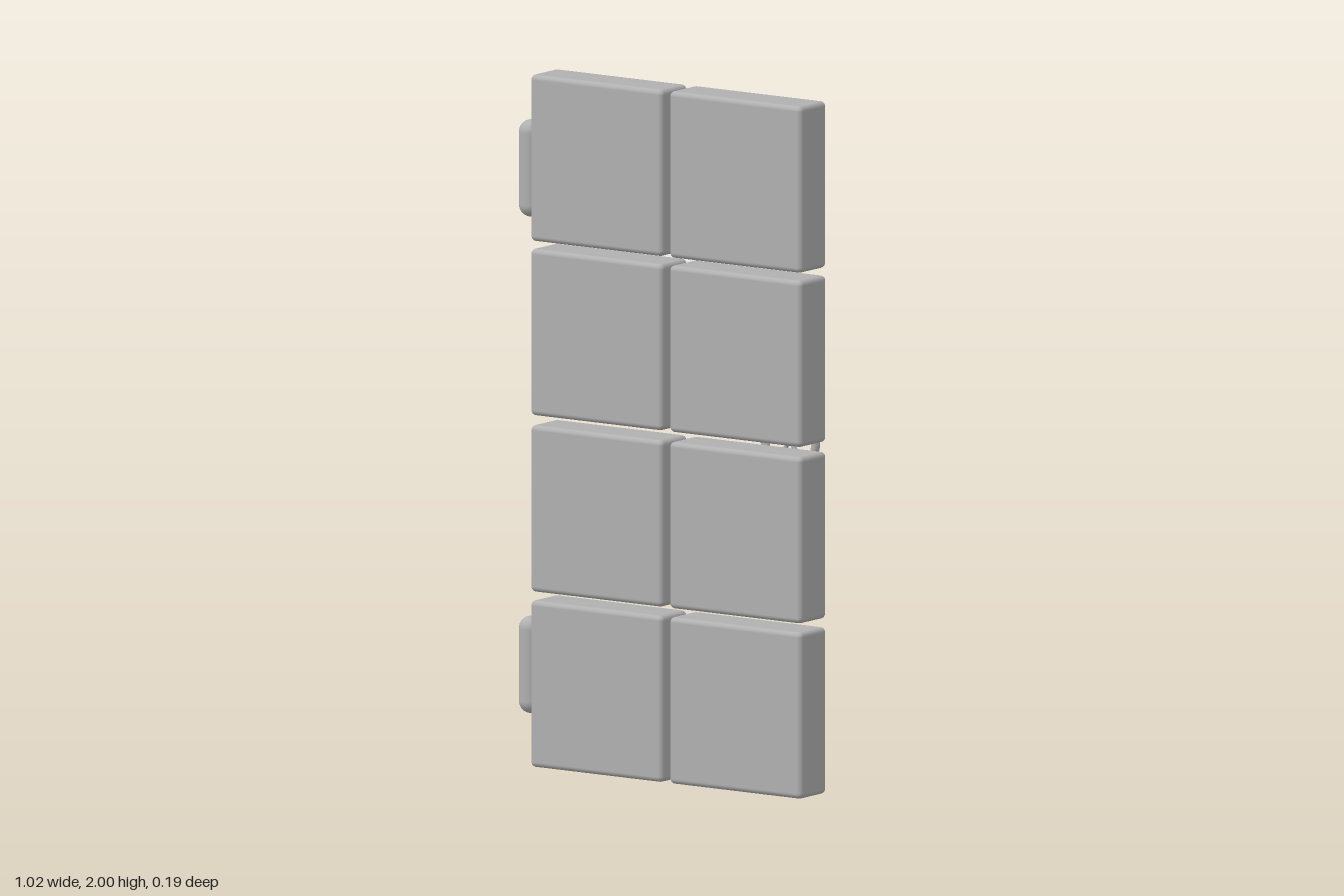
import * as THREE from 'three';
import { RoundedBoxGeometry } from 'three/addons/geometries/RoundedBoxGeometry.js';

const metal = new THREE.MeshStandardMaterial({ color: 0xb0b0b0 });
metal.name = 'grey metal';

function add(parent, name, geometry, x = 0, y = 0, z = 0) {
  const mesh = new THREE.Mesh(geometry, metal);
  mesh.name = name;
  mesh.position.set(x, y, z);
  parent.add(mesh);
  return mesh;
}

// One armoured block with eight rivets around its back face
function createPanel(x, y) {
  const panel = new THREE.Group();
  panel.name = 'panel';
  panel.position.set(x, y, 0);
  add(panel, 'panelBlock', new RoundedBoxGeometry(0.462, 0.48, 0.13, 3, 0.015), 0, 0, 0.025);
  const rivet = new THREE.SphereGeometry(0.022, 16, 12);
  for (const i of [-1, 0, 1]) {
    for (const j of [-1, 0, 1]) {
      if (i || j) add(panel, 'rivet', rivet, i * 0.185, j * 0.195, -0.05);
    }
  }
  return panel;
}

// Hinge strap on the back plus the rounded barrel beside the panel
function createHinge(y) {
  const hinge = new THREE.Group();
  hinge.name = 'hinge';
  hinge.position.y = y;
  const outline = new THREE.Shape();
  [[-0.484, -0.07], [-0.1, -0.07], [-0.094, -0.03], [-0.43, -0.03], [-0.476, -0.044], [-0.484, -0.052]]
    .forEach(([x, z], i) => (i ? outline.lineTo(x, -z) : outline.moveTo(x, -z)));
  const strap = new THREE.ExtrudeGeometry(outline, { depth: 0.115, bevelEnabled: false });
  strap.rotateX(-Math.PI / 2);
  add(hinge, 'hingeStrap', strap, 0, -0.035, 0);
  add(hinge, 'hingeBarrel', new THREE.CapsuleGeometry(0.036, 0.208, 8, 24), -0.473, 0, 0.034);
  return hinge;
}

// Spoked hand wheel
function createWheel() {
  const wheel = new THREE.Group();
  wheel.name = 'handWheel';
  wheel.position.set(0.345, 1.005, -0.085);
  add(wheel, 'wheelRim', new THREE.TorusGeometry(0.09, 0.0125, 12, 40));
  for (let i = 0; i < 3; i++) {
    const spoke = add(wheel, 'wheelSpoke', new THREE.CylinderGeometry(0.007, 0.007, 0.18, 10));
    spoke.rotation.z = Math.PI / 2 + (i * Math.PI) / 3;
  }
  const hub = add(wheel, 'wheelHub', new THREE.CylinderGeometry(0.016, 0.016, 0.018, 20));
  hub.rotation.x = Math.PI / 2;
  return wheel;
}

export function createModel() {
  const door = new THREE.Group();
  door.name = 'armouredDoor';
  for (const x of [-0.209, 0.276]) {
    for (const y of [0.245, 0.75, 1.258, 1.76]) door.add(createPanel(x, y));
  }
  door.add(createHinge(0.29), createHinge(1.72), createWheel());
  return door;
}
